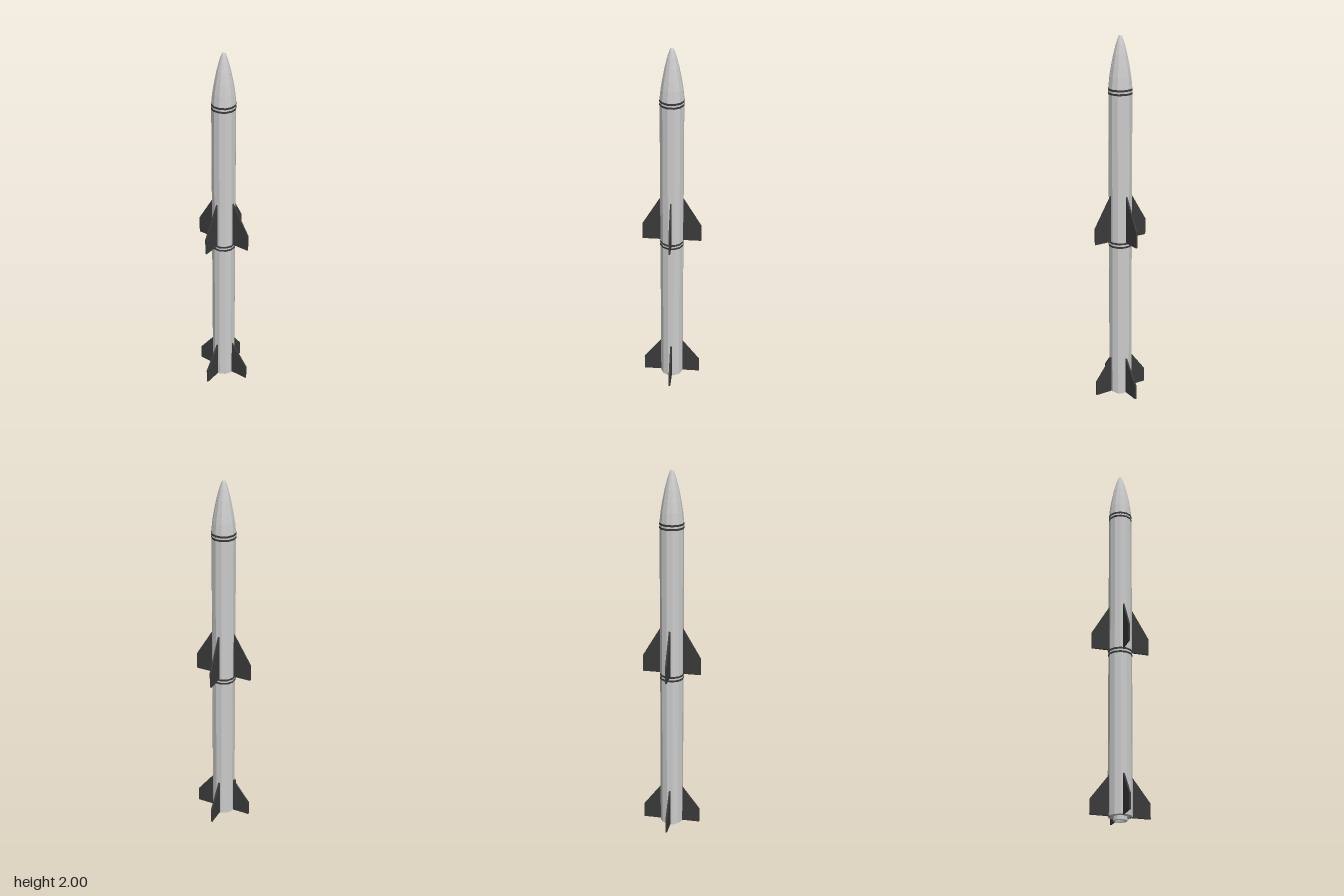
import * as THREE from 'three';

const SIDES = 12;
const grey = new THREE.MeshStandardMaterial({ color: 0xcccccc, flatShading: true });
const dark = new THREE.MeshStandardMaterial({ color: 0x3a3a3a, flatShading: true });

// Twelve-sided revolved part with flats facing the axes; profile runs bottom to top
function turned(name, profile, material) {
  const points = profile.map(([r, y]) => new THREE.Vector2(r, y));
  const mesh = new THREE.Mesh(new THREE.LatheGeometry(points, SIDES, Math.PI / SIDES), material);
  mesh.name = name;
  return mesh;
}

// Four clipped-delta fins around the body
function finSet(name, bottom, tipTop, rootTop) {
  const set = new THREE.Group();
  set.name = name;
  const thickness = 0.009;
  const outline = new THREE.Shape([
    [0.05, bottom], [0.157, bottom], [0.157, tipTop], [0.06, rootTop], [0.05, rootTop],
  ].map(([x, y]) => new THREE.Vector2(x, y)));
  const geometry = new THREE.ExtrudeGeometry(outline, { depth: thickness, bevelEnabled: false });
  geometry.translate(0, 0, -thickness / 2);
  for (let i = 0; i < 4; i++) {
    const fin = new THREE.Mesh(geometry, dark);
    fin.name = 'fin';
    fin.rotation.y = i * Math.PI / 2;
    set.add(fin);
  }
  return set;
}

export function createModel() {
  const model = new THREE.Group();
  model.name = 'rocket';

  // Body tube and ogive nose
  model.add(turned('body', [[0, 0.02], [0.0625, 0.02], [0.0625, 1.735]], grey));
  model.add(turned('noseCone', [
    [0.0625, 1.735], [0.057, 1.79], [0.048, 1.845], [0.036, 1.905],
    [0.023, 1.955], [0.013, 1.985], [0.008, 1.996], [0, 2],
  ], grey));

  // Paired dark bands at the stage joint and below the nose
  for (const y of [0.885, 0.905, 1.707, 1.727]) {
    model.add(turned('band', [
      [0.06, y - 0.005], [0.064, y - 0.005], [0.064, y + 0.005], [0.06, y + 0.005],
    ], dark));
  }

  // Upper and tail fins
  model.add(finSet('upperFins', 0.91, 1.0, 1.165));
  model.add(finSet('tailFins', 0.02, 0.1, 0.228));

  // Hollow exhaust nozzle
  model.add(turned('nozzle', [
    [0, 0.016], [0.022, 0.016], [0.027, 0], [0.036, 0], [0.036, 0.021],
  ], grey));

  return model;
}
